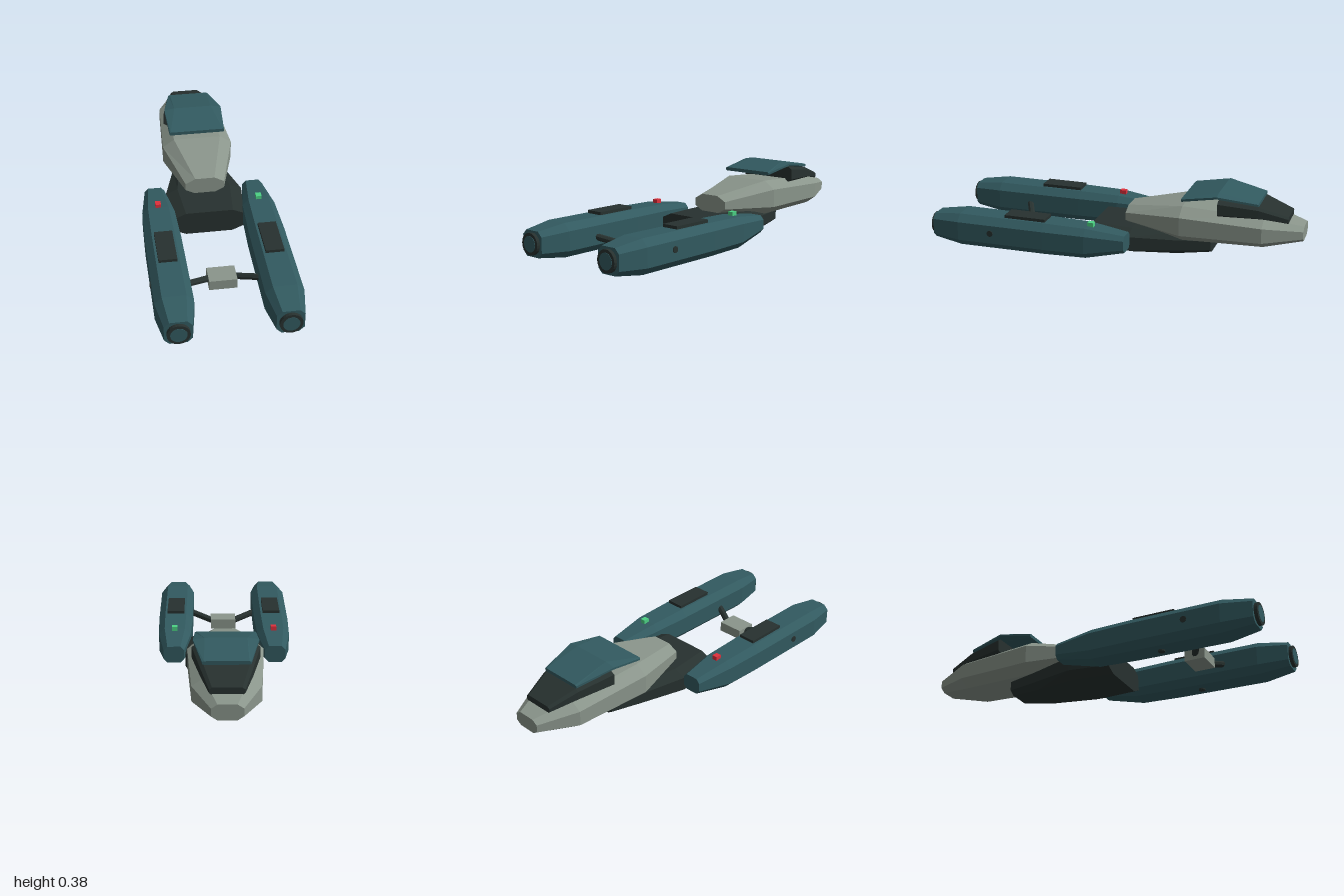
import * as THREE from 'three';

const mat = (name, color) => {
  const m = new THREE.MeshStandardMaterial({ color, flatShading: true });
  m.name = name;
  return m;
};

// Octagonal ring, counterclockwise from +z: half width, bottom, top, corner cuts
function ring([z, hw, y0, y1, cx, cy]) {
  return [
    [hw, y0 + cy], [hw, y1 - cy], [hw - cx, y1], [-hw + cx, y1],
    [-hw, y1 - cy], [-hw, y0 + cy], [-hw + cx, y0], [hw - cx, y0],
  ].map(([x, y]) => [x, y, z]);
}

// Faceted hull through octagonal sections listed from front (+z) to back
function hull(sections) {
  const rings = sections.map(ring);
  const pos = [];
  const tri = (a, b, c) => pos.push(...a, ...b, ...c);
  for (let i = 0; i < rings.length - 1; i++) {
    const a = rings[i], b = rings[i + 1];
    for (let k = 0; k < 8; k++) {
      const n = (k + 1) % 8;
      tri(a[k], b[k], b[n]);
      tri(a[k], b[n], a[n]);
    }
  }
  const first = rings[0], last = rings[rings.length - 1];
  for (let k = 1; k < 7; k++) {
    tri(first[0], first[k], first[k + 1]);
    tri(last[0], last[k + 1], last[k]);
  }
  const g = new THREE.BufferGeometry();
  g.setAttribute('position', new THREE.Float32BufferAttribute(pos, 3));
  g.computeVertexNormals();
  return g;
}

export function createModel() {
  const teal = mat('teal plating', 0x325a60);
  const grey = mat('grey plating', 0x8a958b);
  const dark = mat('dark metal', 0x27312f);
  const red = mat('red light', 0xe0303c);
  const green = mat('green light', 0x4cd084);

  const model = new THREE.Group();
  model.name = 'spacecraft';
  const add = (parent, name, geometry, material, x = 0, y = 0, z = 0) => {
    const m = new THREE.Mesh(geometry, material);
    m.name = name;
    m.position.set(x, y, z);
    parent.add(m);
    return m;
  };
  const box = (w, h, d) => new THREE.BoxGeometry(w, h, d);

  // Forward pod
  add(model, 'crewPod', hull([
    [-0.05, 0.107, 0.14, 0.237, 0.054, 0.028],
    [-0.37, 0.196, 0.103, 0.292, 0.064, 0.045],
    [-0.8, 0.17, 0.108, 0.268, 0.06, 0.04],
    [-1, 0.077, 0.142, 0.222, 0.03, 0.02],
  ]), grey);

  // Cockpit block and the peaked roof plate above it
  add(model, 'cockpit', hull([
    [-0.565, 0.17, 0.265, 0.348, 0.02, 0.013],
    [-0.77, 0.128, 0.255, 0.322, 0.018, 0.012],
    [-0.922, 0.085, 0.235, 0.273, 0.014, 0.01],
  ]), dark);
  add(model, 'cockpitRoof', hull([
    [-0.37, 0.156, 0.322, 0.341, 0.006, 0.004],
    [-0.56, 0.164, 0.352, 0.381, 0.058, 0.009],
    [-0.77, 0.118, 0.324, 0.343, 0.01, 0.004],
  ]), teal);

  // Neck joining the pod and the engines
  add(model, 'neck', hull([
    [0.13, 0.19, 0.005, 0.143, 0.062, 0.028],
    [-0.1, 0.212, 0.008, 0.143, 0.065, 0.03],
    [-0.34, 0.145, 0.012, 0.13, 0.04, 0.03],
    [-0.52, 0.095, 0.028, 0.118, 0.03, 0.02],
  ]), dark);

  // Sensor block between the engines
  add(model, 'sensorBlock', box(0.146, 0.056, 0.11), grey, 0, 0.051, 0.567);

  const engineShape = hull([
    [0.98, 0.07, 0.027, 0.162, 0.026, 0.026],
    [0.82, 0.098, 0.006, 0.184, 0.037, 0.038],
    [0.33, 0.096, 0.01, 0.184, 0.036, 0.037],
    [0.1, 0.088, 0.016, 0.18, 0.032, 0.034],
    [-0.11, 0.055, 0.062, 0.155, 0.02, 0.022],
  ]);

  for (const side of [-1, 1]) {
    const engine = new THREE.Group();
    engine.name = side > 0 ? 'leftEngine' : 'rightEngine';
    engine.position.x = side * 0.274;
    model.add(engine);
    add(engine, 'engineHull', engineShape, teal);

    // Front nozzle with a coloured face
    add(engine, 'nozzle', new THREE.CylinderGeometry(0.058, 0.058, 0.03, 24), dark, 0, 0.095, 0.983)
      .rotation.x = Math.PI / 2;
    add(engine, 'nozzleFace', new THREE.CylinderGeometry(0.042, 0.042, 0.004, 24), teal, 0, 0.095, 0.998)
      .rotation.x = Math.PI / 2;

    // Fittings on the hull
    add(engine, 'topPad', box(0.096, 0.03, 0.23), dark, 0, 0.185, 0.447);
    add(engine, 'navigationLight', box(0.03, 0.03, 0.034), side > 0 ? green : red, 0, 0.185, 0.086);
    add(engine, 'bottomPort', new THREE.CylinderGeometry(0.018, 0.018, 0.02, 12), dark, 0, 0.01, 0.47);
    add(engine, 'sidePort', new THREE.CylinderGeometry(0.017, 0.017, 0.02, 12), dark, side * 0.092, 0.103, 0.63)
      .rotation.z = Math.PI / 2;

    // Strut from the engine to the sensor block
    const from = new THREE.Vector3(side * 0.06, 0.055, 0.565);
    const to = new THREE.Vector3(side * 0.2, 0.09, 0.635);
    const strut = add(model, 'strut', new THREE.CylinderGeometry(0.018, 0.018, from.distanceTo(to), 8), dark);
    strut.position.copy(from).lerp(to, 0.5);
    strut.quaternion.setFromUnitVectors(new THREE.Vector3(0, 1, 0), to.clone().sub(from).normalize());
  }

  return model;
}
